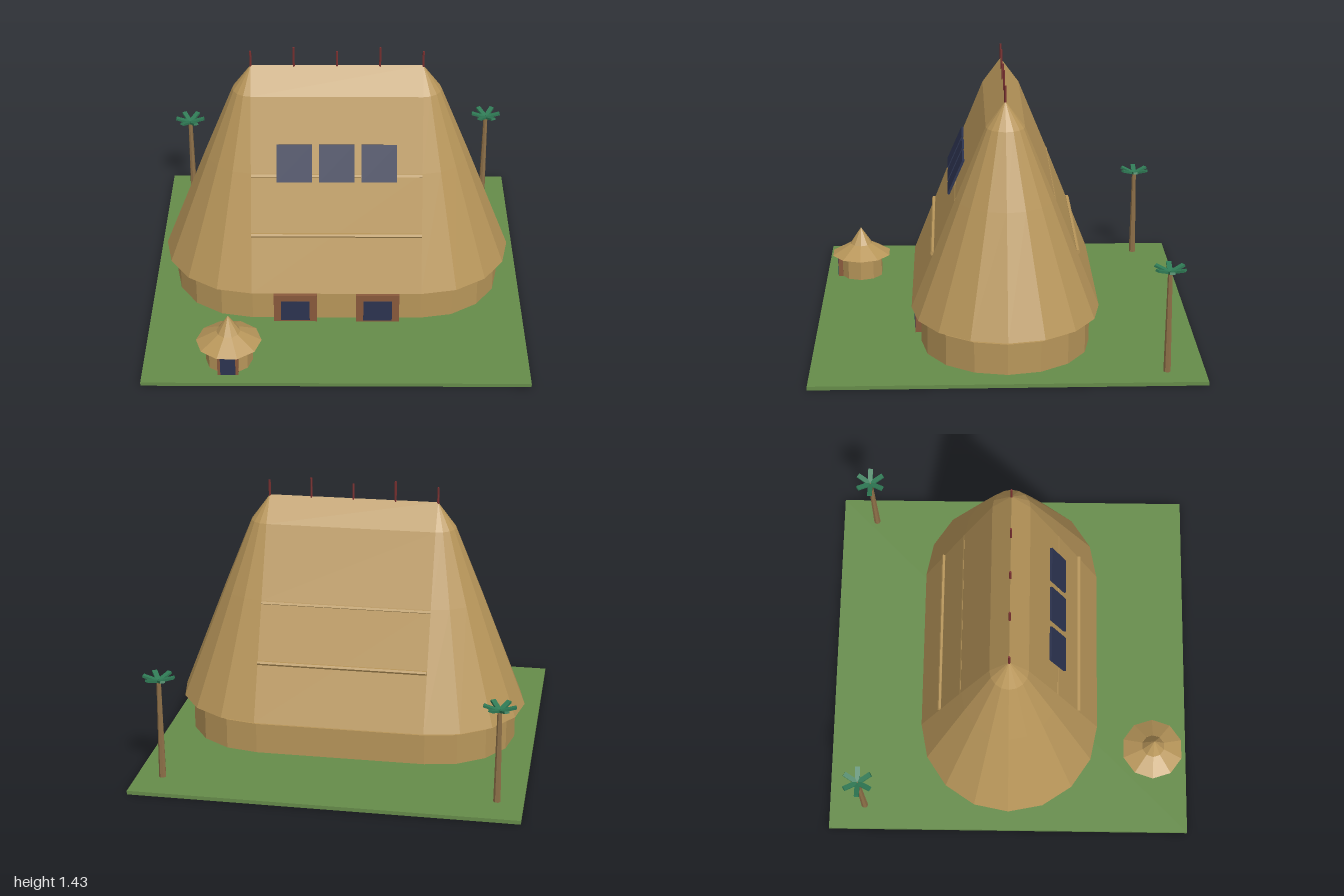
import * as THREE from 'three';

const mat = (name, color, flatShading = true) => {
  const m = new THREE.MeshStandardMaterial({ color, flatShading });
  m.name = name;
  return m;
};

// Closed loft of stadium-shaped rings; profile holds [y, radius], half is the straight half length
function stadiumLoft(profile, half, segs = 8) {
  const pos = [], idx = [], n = 2 * (segs + 1);
  for (const [y, r] of profile) {
    for (const side of [1, -1]) {
      for (let i = 0; i <= segs; i++) {
        const a = -Math.PI / 2 + (i / segs) * Math.PI;
        pos.push(side * (half + r * Math.cos(a)), y, side * r * Math.sin(a));
      }
    }
  }
  const last = profile.length - 1;
  for (let j = 0; j < last; j++) {
    for (let i = 0; i < n; i++) {
      const a = j * n + i, b = j * n + (i + 1) % n;
      idx.push(a, a + n, b, b, a + n, b + n);
    }
  }
  // Bottom and top caps
  for (let i = 1; i < n - 1; i++) {
    idx.push(0, i, i + 1);
    idx.push(last * n, last * n + i + 1, last * n + i);
  }
  const g = new THREE.BufferGeometry();
  g.setAttribute('position', new THREE.Float32BufferAttribute(pos, 3));
  g.setIndex(idx);
  g.computeVertexNormals();
  return g;
}

export function createModel() {
  const model = new THREE.Group();
  model.name = 'thatchedLonghouse';

  const grass = mat('grass green', 0x668c4a);
  const thatch = mat('thatch', 0xb8965a);
  const wood = mat('door wood', 0x8a5a3c);
  const glass = mat('dark blue', 0x2c3350);
  const pole = mat('pole red', 0x7a3030);
  const bark = mat('trunk brown', 0x8e7048);
  const leaf = mat('palm green', 0x2f7a55);

  const add = (parent, name, geo, material, x = 0, y = 0, z = 0) => {
    const m = new THREE.Mesh(geo, material);
    m.name = name;
    m.position.set(x, y, z);
    parent.add(m);
    return m;
  };
  const box = (w, h, d) => new THREE.BoxGeometry(w, h, d);

  add(model, 'ground', box(2, 0.02, 2), grass, 0, 0.01, 0);

  // Longhouse
  add(model, 'houseWall', stadiumLoft([[0.02, 0.44], [0.185, 0.44]], 0.45), thatch);
  add(model, 'houseRoof', stadiumLoft([[0.213, 0.49], [0.815, 0.253], [1.19, 0.1], [1.325, 0]], 0.45), thatch);

  // Horizontal battens on both slopes
  for (const side of [1, -1]) {
    for (const [y, z] of [[0.51, 0.377], [0.8, 0.25]]) {
      const b = add(model, 'roofBatten', new THREE.CylinderGeometry(0.012, 0.012, 0.9, 6), thatch, 0, y, side * z);
      b.rotation.z = Math.PI / 2;
    }
  }

  // Doorways
  for (const x of [-0.22, 0.22]) {
    add(model, 'doorFrame', box(0.23, 0.168, 0.05), wood, x, 0.104, 0.45);
    add(model, 'doorPane', box(0.153, 0.122, 0.006), glass, x, 0.091, 0.476);
  }

  // Solar panels
  for (const x of [-0.222, 0, 0.222]) {
    const p = add(model, 'solarPanel', box(0.185, 0.198, 0.012), glass, x, 0.878, 0.253);
    p.rotation.x = -0.41;
  }

  // Ridge poles
  for (let i = 0; i < 5; i++) {
    const top = i % 2 ? 1.427 : 1.405;
    add(model, 'ridgePole', new THREE.CylinderGeometry(0.006, 0.006, top - 1.3, 6), pole,
      -0.45 + i * 0.225, (top + 1.3) / 2, 0);
  }

  // Small round hut
  const hut = new THREE.Group();
  hut.name = 'hut';
  hut.position.set(-0.555, 0, 0.803);
  model.add(hut);
  const turned = (g) => g.rotateY(Math.PI / 10);
  add(hut, 'hutWall', turned(new THREE.CylinderGeometry(0.122, 0.122, 0.13, 10)), thatch, 0, 0.085, 0);
  add(hut, 'hutRoof', turned(new THREE.CylinderGeometry(0.063, 0.17, 0.06, 10)), thatch, 0, 0.175, 0);
  add(hut, 'hutRoofPeak', turned(new THREE.ConeGeometry(0.063, 0.095, 10)), thatch, 0, 0.252, 0);
  add(hut, 'hutDoorFrame', box(0.108, 0.12, 0.025), wood, 0, 0.08, 0.119);
  add(hut, 'hutDoorPane', box(0.078, 0.102, 0.006), glass, 0, 0.073, 0.132);

  // Palm trees
  for (const [x, height] of [[-0.865, 0.51], [0.865, 0.55]]) {
    const palm = new THREE.Group();
    palm.name = 'palm';
    palm.position.set(x, 0, -0.805);
    model.add(palm);
    add(palm, 'trunk', new THREE.CylinderGeometry(0.012, 0.019, height - 0.02, 7), bark, 0, (height + 0.02) / 2, 0);
    for (let i = 0; i < 6; i++) {
      const frond = new THREE.Group();
      frond.name = 'frond';
      frond.position.y = height + 0.003;
      frond.rotation.y = (i * Math.PI) / 3;
      palm.add(frond);
      const blade = add(frond, 'frondBlade', box(0.08, 0.012, 0.026), leaf, 0.043, 0.013, 0);
      blade.rotation.z = 0.3;
    }
  }
  return model;
}
